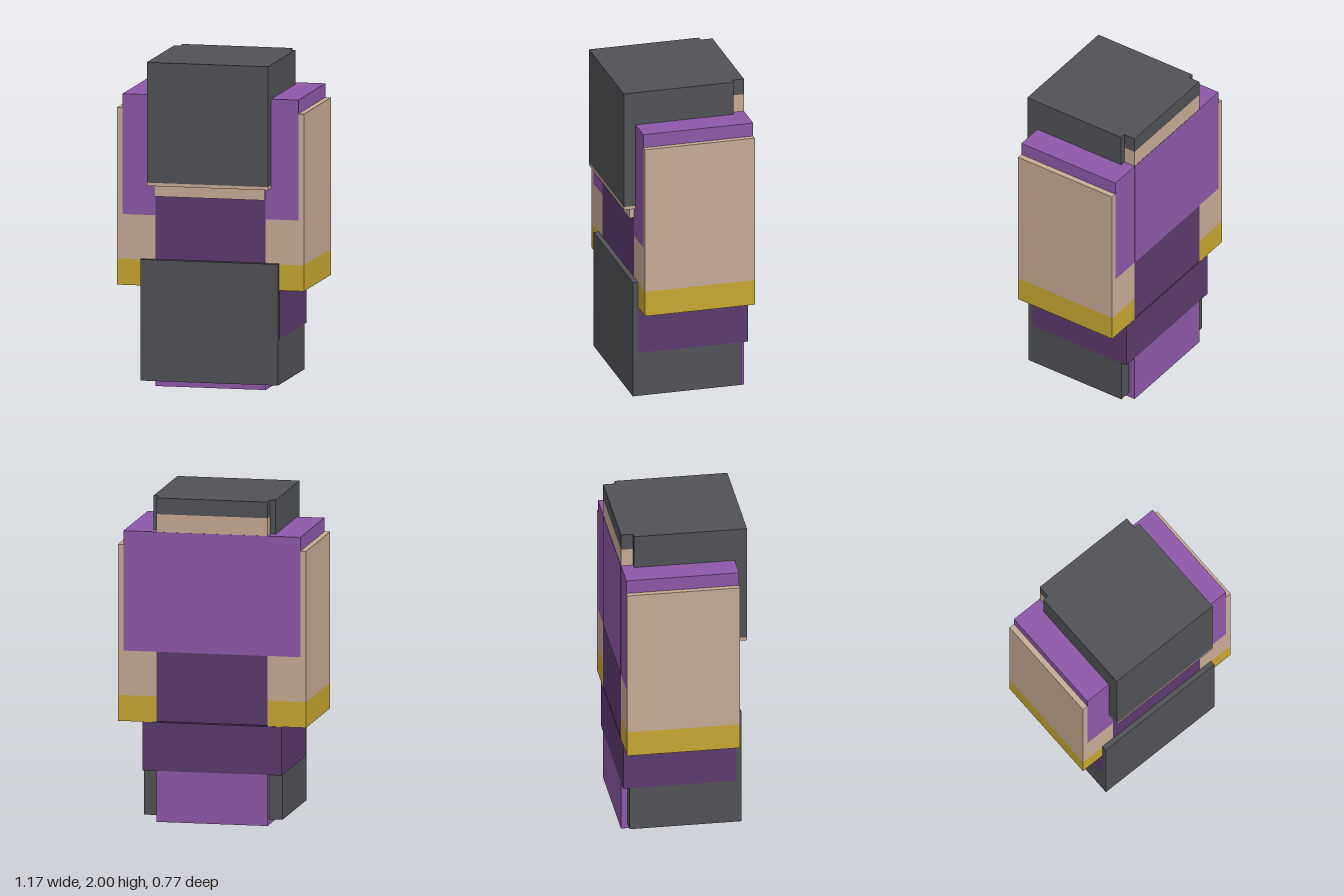
import * as THREE from 'three';

const mat = (name, color) => {
  const m = new THREE.MeshStandardMaterial({ color });
  m.name = name;
  return m;
};

export function createModel() {
  const charcoal = mat('charcoal', 0x505256);
  const skin = mat('skin', 0xc8ab96);
  const purple = mat('purple', 0x8e58a8);
  const darkPurple = mat('dark purple', 0x5b3a6e);
  const gold = mat('gold', 0xc7a732);

  const model = new THREE.Group();
  model.name = 'blockFigure';

  // Box given by its limits on each axis
  const block = (name, material, [x0, x1], [y0, y1], [z0, z1]) => {
    const mesh = new THREE.Mesh(new THREE.BoxGeometry(x1 - x0, y1 - y0, z1 - z0), material);
    mesh.position.set((x0 + x1) / 2, (y0 + y1) / 2, (z0 + z1) / 2);
    mesh.name = name;
    model.add(mesh);
  };

  const back = -0.385, front = 0.31;

  // Head and hair
  block('head', skin, [-0.345, 0.345], [1.17, 1.9], [back, 0.34]);
  block('chin', skin, [-0.38, 0.38], [1.24, 1.26], [-0.31, 0.385]);
  block('hair', charcoal, [-0.38, 0.38], [1.26, 2], [-0.31, 0.385]);
  block('backHair', charcoal, [-0.345, 0.345], [1.9, 2], [back, -0.31]);

  // Torso with the jacket's back panel
  block('torso', darkPurple, [-0.345, 0.345], [0.62, 1.17], [back, front]);
  block('jacketBack', purple, [-0.345, 0.345], [1.05, 1.79], [back - 0.002, back + 0.004]);

  // Arms, sleeves and cuffs on both sides
  for (const [side, s] of [['left', 1], ['right', -1]]) {
    const span = (a, b) => (s > 0 ? [a, b] : [-b, -a]);
    block(side + 'Sleeve', purple, span(0.345, 0.55), [1.05, 1.79], [back, front]);
    block(side + 'Forearm', skin, span(0.345, 0.585), [0.775, 1.05], [back, front]);
    block(side + 'OuterArm', skin, span(0.55, 0.585), [1.05, 1.705], [back, front]);
    block(side + 'Cuff', gold, span(0.345, 0.585), [0.615, 0.775], [back, front]);
  }

  // Hips, apron block and feet
  block('hips', darkPurple, [-0.432, 0.432], [0.315, 0.614], [back, front]);
  block('apron', charcoal, [-0.43, 0.43], [0.315, 0.78], [front, 0.342]);
  block('lowerBlock', charcoal, [-0.43, 0.43], [0.035, 0.315], [-0.345, 0.342]);
  block('feet', purple, [-0.345, 0.345], [0, 0.315], [back, front]);

  return model;
}
